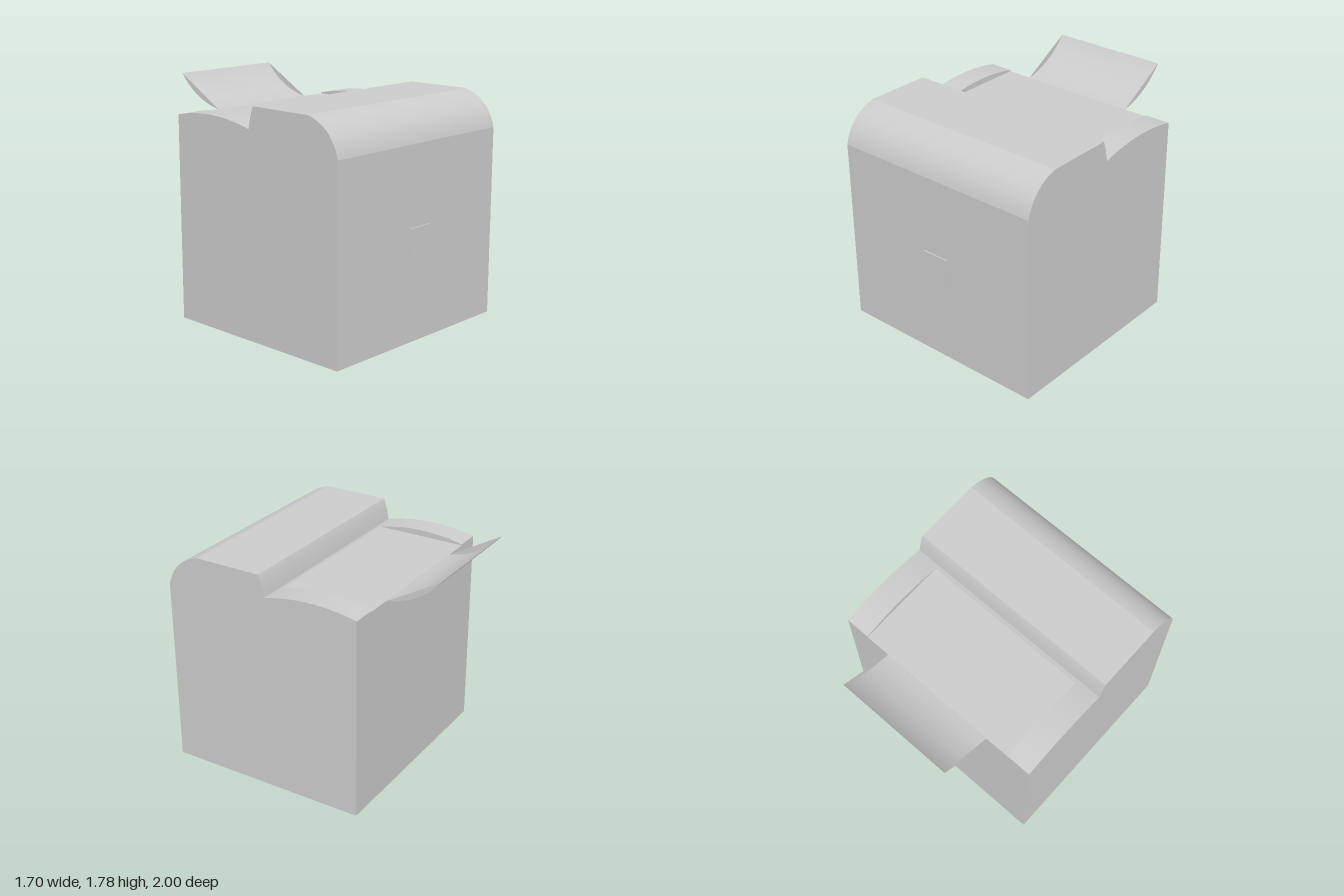
import * as THREE from 'three';
import { toCreasedNormals } from 'three/addons/utils/BufferGeometryUtils.js';

const material = new THREE.MeshStandardMaterial({ color: 0xcccccc });
const thinMaterial = new THREE.MeshStandardMaterial({ color: 0xcccccc, side: THREE.DoubleSide });

// Extrudes a side profile drawn in (z, y) across the width from x0 to x1
function sideExtrude(name, shape, x0, x1) {
  const geo = new THREE.ExtrudeGeometry(shape, { depth: x1 - x0, bevelEnabled: false, curveSegments: 20 });
  geo.rotateY(-Math.PI / 2).translate(x1, 0, 0);
  const mesh = new THREE.Mesh(toCreasedNormals(geo, 0.22), material);
  mesh.name = name;
  return mesh;
}

export function createModel() {
  const group = new THREE.Group();
  group.name = 'printer';
  const halfW = 0.85, back = -0.59, front = 0.99, deckY = 1.549;

  // Housing with rounded front hood and a flat rear deck
  const body = new THREE.Shape();
  body.moveTo(back, 0);
  body.lineTo(front, 0);
  body.lineTo(front, 1.44);
  body.quadraticCurveTo(0.935, 1.653, 0.72, 1.704);
  body.lineTo(0.2, 1.704);
  body.quadraticCurveTo(0.175, 1.65, 0.155, 1.54);
  body.lineTo(0.12, deckY);
  body.lineTo(back, deckY);
  body.closePath();
  group.add(sideExtrude('housing', body, -halfW, halfW));

  // Low arched shoulders on both sides of the deck
  const hump = new THREE.Shape();
  hump.moveTo(back, deckY);
  hump.lineTo(0.12, deckY);
  hump.quadraticCurveTo(-0.235, 1.637, back, 1.558);
  hump.closePath();
  group.add(sideExtrude('leftShoulder', hump, 0.66, halfW));
  group.add(sideExtrude('rightShoulder', hump, -halfW, -0.66));

  // Curved paper tray: a bent thin sheet with lens-shaped side walls
  const tray = new THREE.Group();
  tray.name = 'paperTray';
  const trayHalf = 0.462;
  const curve = new THREE.QuadraticBezierCurve(
    new THREE.Vector2(back, 1.548), new THREE.Vector2(-0.84, 1.59), new THREE.Vector2(-1, 1.785));
  const sheetGeo = new THREE.PlaneGeometry(trayHalf * 2, 1, 1, 24);
  const pos = sheetGeo.attributes.position;
  for (let i = 0; i < pos.count; i++) {
    const p = curve.getPoint(pos.getY(i) + 0.5);
    pos.setXYZ(i, pos.getX(i), p.y, p.x);
  }
  sheetGeo.computeVertexNormals();
  const sheet = new THREE.Mesh(sheetGeo, thinMaterial);
  sheet.name = 'traySheet';
  tray.add(sheet);
  for (const side of [-1, 1]) {
    const geo = new THREE.ShapeGeometry(new THREE.Shape(curve.getPoints(24)));
    geo.rotateY(-Math.PI / 2).translate(side * trayHalf, 0, 0);
    const wall = new THREE.Mesh(geo, thinMaterial);
    wall.name = side > 0 ? 'trayLeftWall' : 'trayRightWall';
    tray.add(wall);
  }
  group.add(tray);

  // Small square badge plate on the front
  const plate = new THREE.Mesh(new THREE.BoxGeometry(0.222, 0.236, 0.02), material);
  plate.position.set(0, 0.726, 0.99);
  plate.name = 'frontPlate';
  group.add(plate);

  return group;
}
